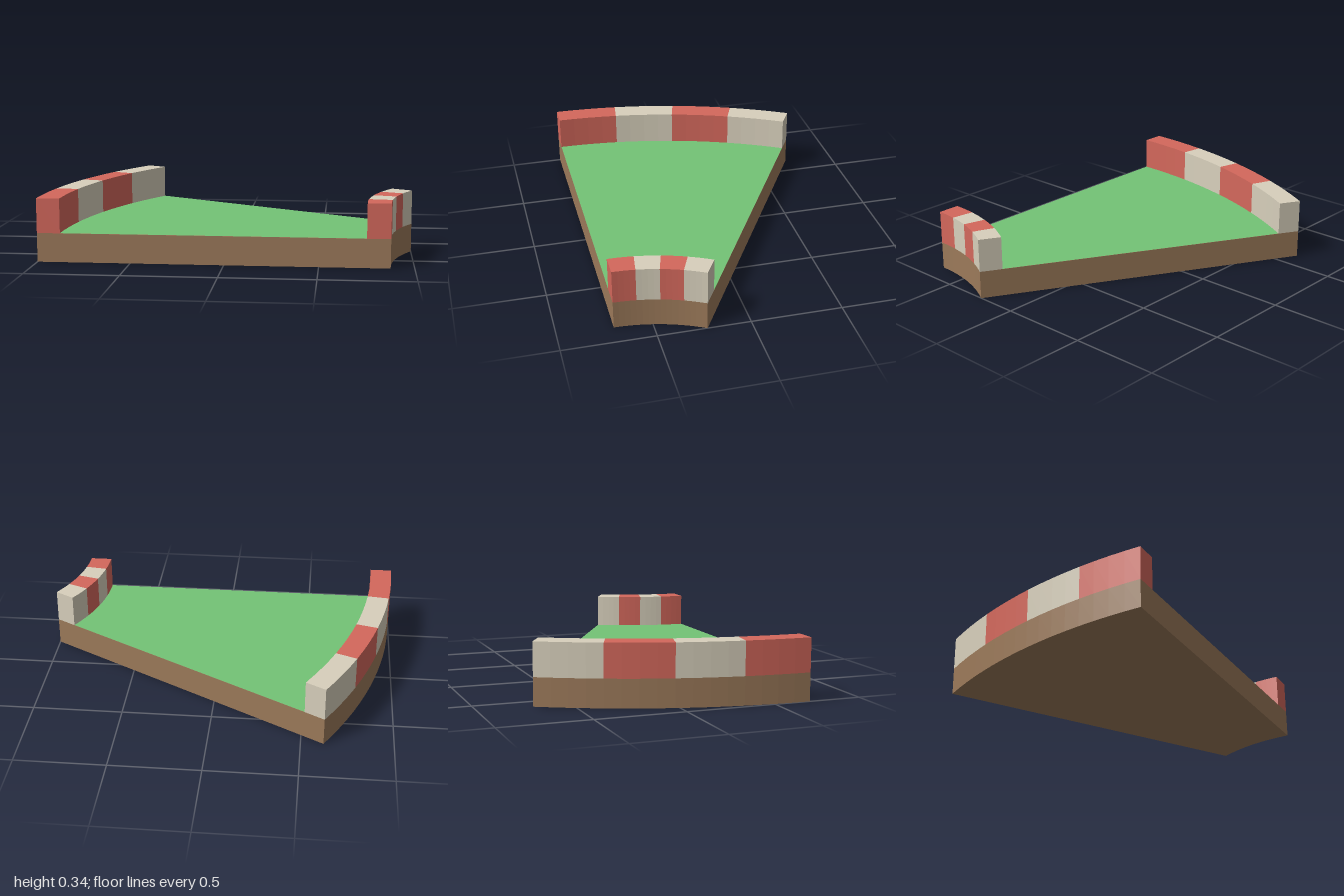
import * as THREE from 'three';

const OUTER = 2.812, INNER = 0.937, CURB = 0.125; // radii and curb width
const CX = 1.812, HALF = 0.703;                   // arc centre
const BASE_H = 0.156, CURB_H = 0.187;
const SWEEP = Math.PI / 6, BLOCKS = 4, STEPS = 4; // 30 degree bend, blocks per curb

const paint = (name, color) => {
  const m = new THREE.MeshStandardMaterial({ color });
  m.name = name;
  return m;
};

// ring sector outline between two radii and two angles, measured from -x
function sector(r0, r1, a0, a1, steps) {
  const pts = [];
  const add = (r, a) => pts.push(new THREE.Vector2(CX - r * Math.cos(a), r * Math.sin(a) - HALF));
  for (let i = 0; i <= steps; i++) add(r1, a0 + (a1 - a0) * i / steps);
  for (let i = steps; i >= 0; i--) add(r0, a0 + (a1 - a0) * i / steps);
  return new THREE.Shape(pts);
}

function slab(name, shape, y, height, material) {
  const geo = new THREE.ExtrudeGeometry(shape, { depth: height, bevelEnabled: false });
  geo.rotateX(-Math.PI / 2);
  const mesh = new THREE.Mesh(geo, material);
  mesh.position.y = y;
  mesh.name = name;
  return mesh;
}

export function createModel() {
  const group = new THREE.Group();
  group.name = 'curvedTrackPiece';
  const earth = paint('earth brown', 0x9c7a5a);
  const grass = paint('grass green', 0x74c476);
  const red = paint('curb red', 0xd4685c);
  const cream = paint('curb cream', 0xd8d0bc);

  // earth base
  group.add(slab('base', sector(INNER, OUTER, 0, SWEEP, BLOCKS * STEPS), 0, BASE_H, earth));

  // grass surface between the curbs
  const lawn = new THREE.ShapeGeometry(sector(INNER + CURB, OUTER - CURB, 0, SWEEP, BLOCKS * STEPS));
  lawn.rotateX(-Math.PI / 2);
  const surface = new THREE.Mesh(lawn, grass);
  surface.position.y = BASE_H + 0.001;
  surface.name = 'grassSurface';
  group.add(surface);

  // striped curbs along both arcs
  for (const [name, r] of [['outerCurb', OUTER - CURB], ['innerCurb', INNER]]) {
    const curb = new THREE.Group();
    curb.name = name;
    for (let i = 0; i < BLOCKS; i++) {
      const shape = sector(r, r + CURB, SWEEP * i / BLOCKS, SWEEP * (i + 1) / BLOCKS, STEPS);
      curb.add(slab(`${name}Block${i + 1}`, shape, BASE_H, CURB_H, i % 2 ? cream : red));
    }
    group.add(curb);
  }
  return group;
}
